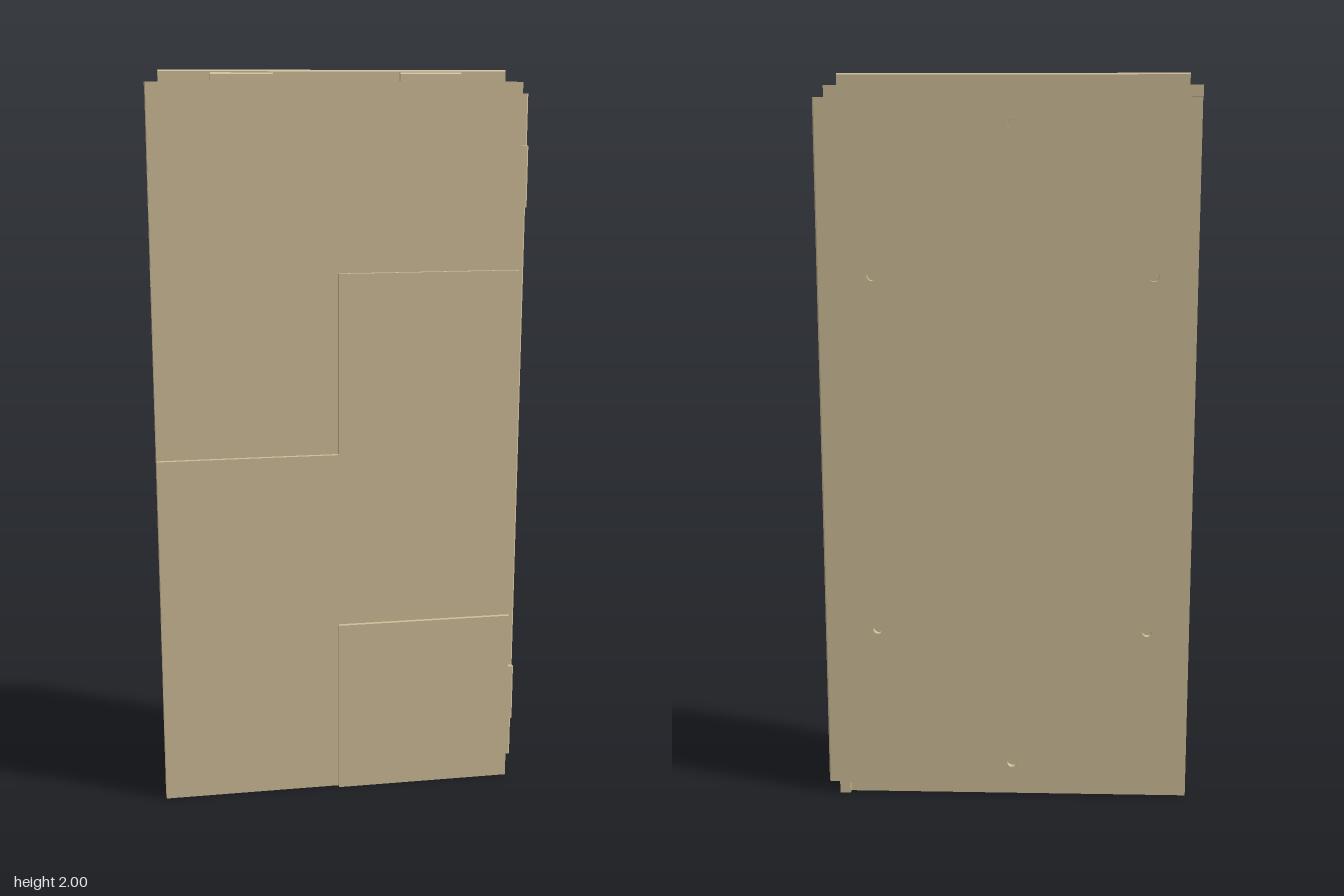
import * as THREE from 'three';

const mat = new THREE.MeshStandardMaterial({ color: 0xd0be98, flatShading: true });
const X = new THREE.Vector3(1, 0, 0), Y = new THREE.Vector3(0, 1, 0), Z = new THREE.Vector3(0, 0, 1);

// Main levels of the panel
const x0 = -0.51, x1 = 0.475, H = 1.97, midX = (x0 + x1) / 2;
const zBack = -0.038, zRebate = -0.022, zPlate = 0.022, zLow = 0.026, zHigh = 0.038;
const rim = 0.03; // depth of the edge walls and width of the rebate

const polygon = pts => new THREE.Shape(pts.map(p => new THREE.Vector2(...p)));
const rectPts = (a, b, c, d) => [[a, c], [b, c], [b, d], [a, d]];
const extrude = (shape, depth) =>
  new THREE.ExtrudeGeometry(shape, { depth, bevelEnabled: false, curveSegments: 12 });

export function createModel() {
  const group = new THREE.Group();

  const add = (name, geometry) => {
    const mesh = new THREE.Mesh(geometry, mat);
    mesh.name = name;
    group.add(mesh);
    return mesh;
  };
  const block = (name, xa, xb, ya, yb, za, zb) =>
    add(name, new THREE.BoxGeometry(xb - xa, yb - ya, zb - za)
      .translate((xa + xb) / 2, (ya + yb) / 2, (za + zb) / 2));
  // Orients an extrusion by the world directions of its own axes, then moves it
  const place = (geometry, ax, ay, az, pos) =>
    geometry.applyMatrix4(new THREE.Matrix4().makeBasis(ax, ay, az).setPosition(...pos));

  // Core, front plate and alternating raised tiles
  block('core', x0 + rim, x1 - rim, rim, H - rim, zRebate, zPlate);
  block('frontPlate', x0, x1, 0, H, zPlate, zLow);
  const tileW = (x1 - x0) / 2, tileH = H / 4;
  for (let row = 0; row < 4; row++) {
    const x = row % 2 ? x0 : midX;
    block('raisedTile', x, x + tileW, row * tileH, (row + 1) * tileH, zLow, zHigh);
  }

  // Back plate: rebated along two edges, with six round sockets
  const back = polygon([
    [x1 - rim, 0], [x1, 0], [x1, H], [x0, H], [x0, H - rim],
    [x0 + rim, H - rim], [x0 + rim, rim], [x1 - rim, rim],
  ]);
  const sockets = [[0, 0.1], [0, H - 0.1]];
  for (const s of [-0.375, 0.375]) sockets.push([s, tileH], [s, 3 * tileH]);
  for (const [dx, y] of sockets) {
    back.holes.push(new THREE.Path().absarc(midX + dx, y, 0.0135, 0, Math.PI * 2, true));
  }
  add('backPlate', extrude(back, zRebate - zBack).translate(0, 0, zBack));

  // Edge walls with open pockets; each opening is [centre, length, zMin, zMax]
  const wall = (a, b, openings) => {
    const shape = polygon(rectPts(a, b, zRebate, zPlate));
    for (const [c, len, za, zb] of openings) {
      shape.holes.push(polygon(rectPts(c - len / 2, c + len / 2, za, zb).reverse()));
    }
    return extrude(shape, rim);
  };
  const pocket = c => [c, 0.054, -0.006, 0.018];
  const slot = c => [c, 0.17, -0.001, 0.016];
  const tabsX = [midX - 0.247, midX + 0.247], tabsY = [tileH / 2, H - tileH / 2];
  const pocketsY = [tileH, 3 * tileH].map(pocket);
  const down = Y.clone().negate(), west = X.clone().negate();
  add('topWall', place(wall(x0, x1, [pocket(midX)]), X, Z, down, [0, H, 0]));
  add('bottomWall', place(wall(x0, x1, [pocket(midX), ...tabsX.map(slot)]), X, Z, down, [0, rim, 0]));
  add('leftWall', place(wall(rim, H - rim, pocketsY), Y, Z, X, [x1 - rim, 0, 0]));
  add('rightWall', place(wall(rim, H - rim, [...pocketsY, ...tabsY.map(slot)]), Y, Z, X, [x0, 0, 0]));

  // Tongues and tabs: bars with chamfered tips standing out of the edge
  const bar = (za, zb, out, length) => {
    const c = 0.004;
    return extrude(polygon([[za, 0], [zb, 0], [zb, out - c], [zb - c, out], [za + c, out], [za, out - c]]), length);
  };
  const onTop = (name, xa, xb, za, zb, out) =>
    add(name, place(bar(za, zb, out, xb - xa), Z, Y, west, [xb, H, 0]));
  const onLeft = (name, ya, yb, za, zb, out) =>
    add(name, place(bar(za, zb, out, yb - ya), Z, X, Y, [x1, ya, 0]));
  onTop('topTongue', -0.475, 0.44, zBack, -0.023, 0.03);
  onLeft('leftTongue', 0.035, 1.94, zBack, -0.023, 0.03);
  for (const c of tabsX) onTop('topTab', c - 0.081, c + 0.081, 0, 0.015, 0.023);
  for (const c of tabsY) onLeft('leftTab', c - 0.081, c + 0.081, 0, 0.015, 0.023);

  return group;
}
